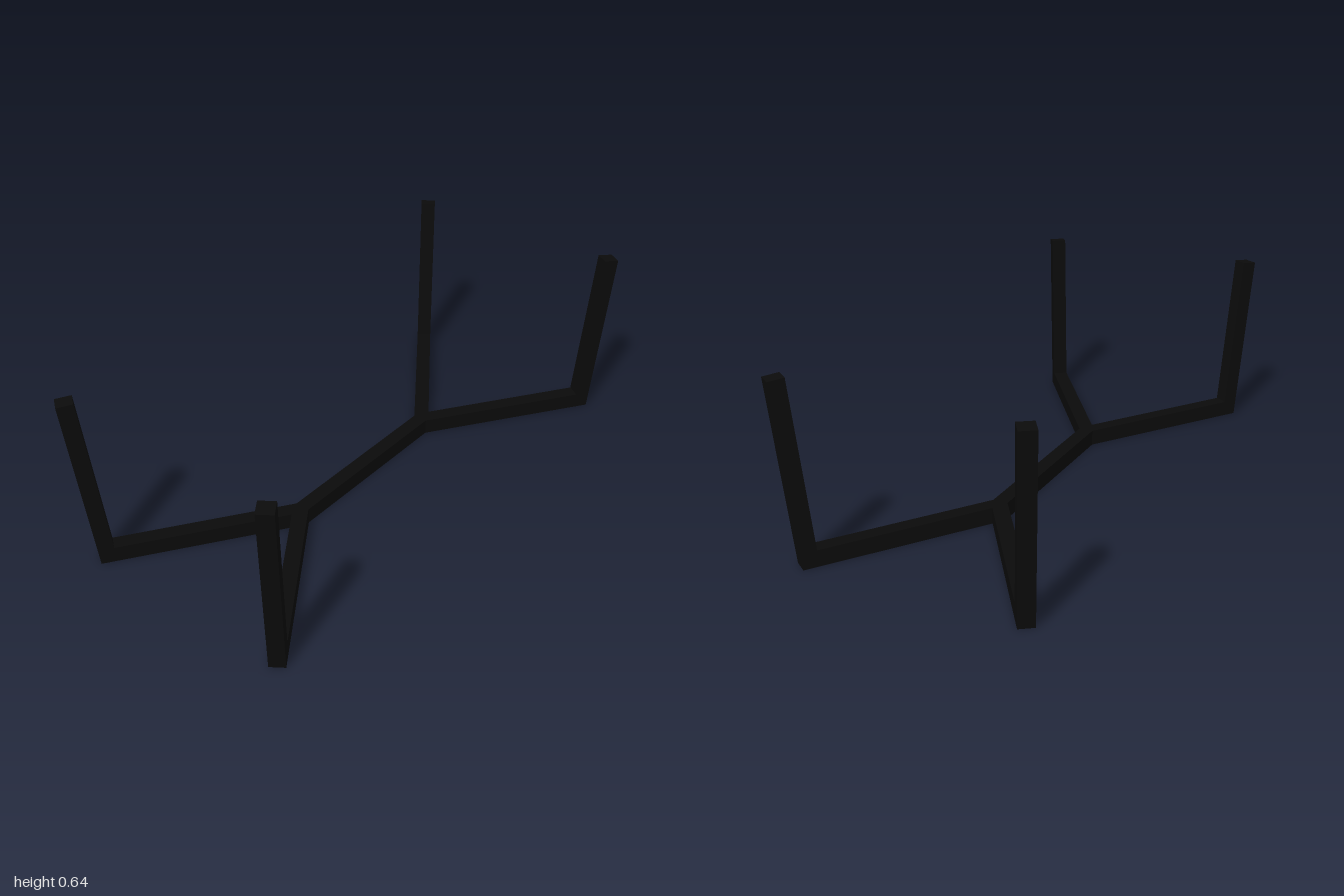
import * as THREE from 'three';

const WIDTH = 0.055, HEIGHT = 0.058, HUB_X = 0.36, SPLAY = 0.609;

export function createModel() {
  const model = new THREE.Group();
  model.name = 'baseFrame';
  const black = new THREE.MeshStandardMaterial({ color: 0x0b0b0b });

  // Central floor rail joining the two forks
  const rail = new THREE.Mesh(new THREE.BoxGeometry(2 * HUB_X, HEIGHT, WIDTH), black);
  rail.name = 'centreRail';
  rail.position.y = HEIGHT / 2;
  model.add(rail);

  // Side profile of a floor arm with its outward-leaning, square-cut post
  const profile = new THREE.Shape([
    [0, 0], [0.7, 0], [0.761, 0.64], [0.706, 0.645], [0.651, HEIGHT], [0, HEIGHT],
  ].map(([x, y]) => new THREE.Vector2(x, y)));
  const armGeometry = new THREE.ExtrudeGeometry(profile, { depth: WIDTH, bevelEnabled: false });
  armGeometry.translate(0, 0, -WIDTH / 2);

  // Two arms fork from each end of the rail
  for (const side of [1, -1]) {
    for (const front of [1, -1]) {
      const arm = new THREE.Mesh(armGeometry, black);
      arm.name = `${front > 0 ? 'front' : 'back'}${side > 0 ? 'Left' : 'Right'}ArmAndPost`;
      arm.position.x = side * HUB_X;
      arm.rotation.y = side > 0 ? -front * SPLAY : Math.PI + front * SPLAY;
      model.add(arm);
    }
  }
  return model;
}
